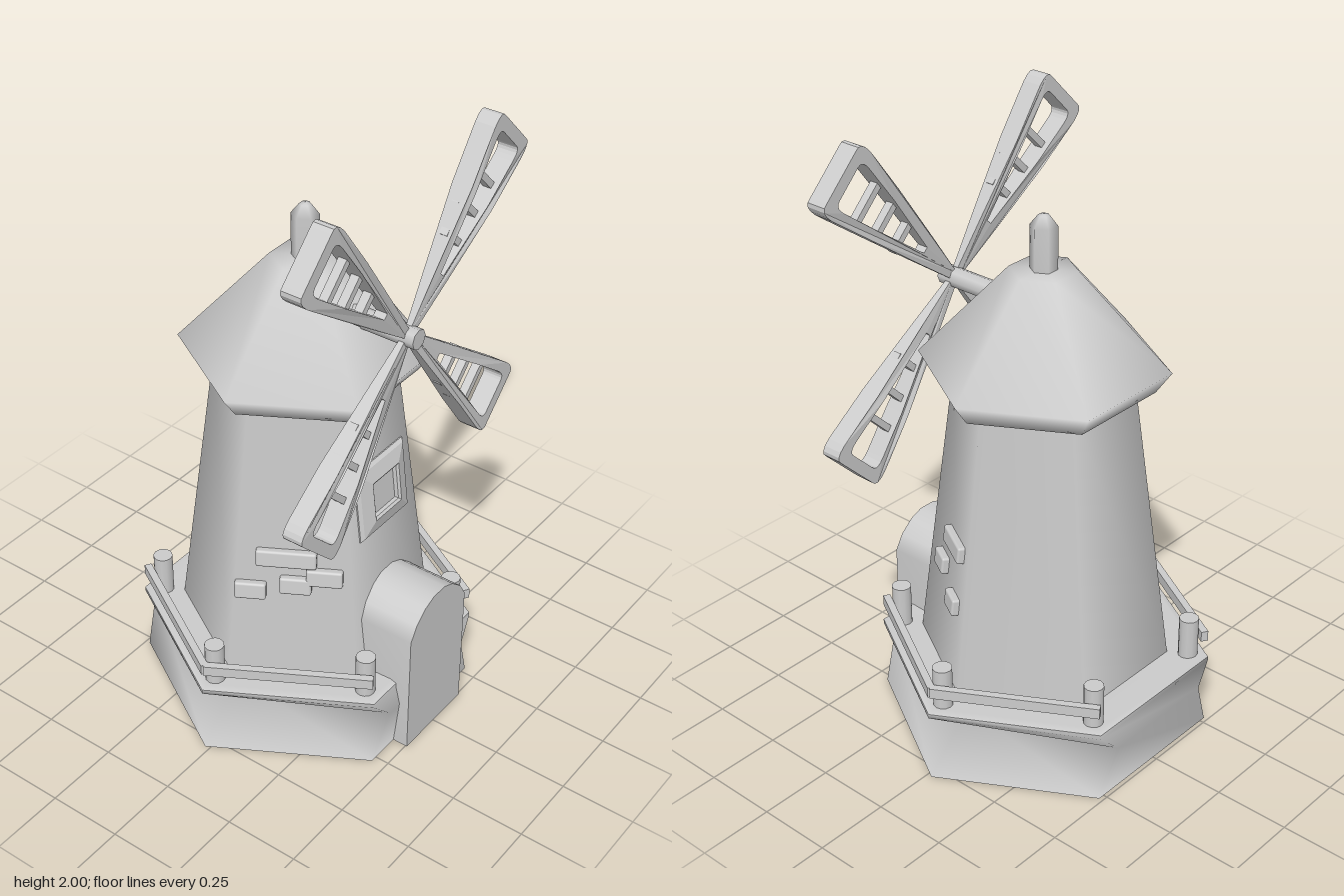
import * as THREE from 'three';
import { RoundedBoxGeometry } from 'three/addons/geometries/RoundedBoxGeometry.js';

const CZ = -0.017; // z of the tower axis
const COS30 = Math.cos(Math.PI / 6);
const SLOPE = Math.atan(0.109 / 0.95); // lean of the tower walls
const wall = (y) => 0.355 - (y - 0.25) * 0.1147; // distance from axis to a tower facet

const grey = new THREE.MeshStandardMaterial({ color: 0xcccccc });
const greyDouble = new THREE.MeshStandardMaterial({ color: 0xcccccc, side: THREE.DoubleSide });

function add(parent, name, geometry, material = grey) {
  const mesh = new THREE.Mesh(geometry, material);
  mesh.name = name;
  parent.add(mesh);
  return mesh;
}

// Six-sided turned shape with corners on the x axis
const hexLathe = (points) =>
  new THREE.LatheGeometry(points.map(([r, y]) => new THREE.Vector2(r, y)), 6, Math.PI / 6);

function baseSkirt() {
  const g = hexLathe([[0.542, 0], [0.5, 0.17], [0.545, 0.235], [0.545, 0.25]]);
  const p = g.attributes.position;
  // Pinch the side corners of the middle ring and bulge its front and back
  for (let i = 0; i < p.count; i++) {
    if (Math.abs(p.getY(i) - 0.17) > 0.001) continue;
    const x = p.getX(i), z = p.getZ(i);
    if (Math.abs(z) < 0.1) p.setX(i, Math.sign(x) * 0.37);
    else p.setXYZ(i, Math.sign(x) * 0.205, 0.17, Math.sign(z) * 0.488);
  }
  g.computeVertexNormals();
  return g;
}

// Door porch: arched front with an open-bottomed shell behind it
function porch() {
  const group = new THREE.Group();
  group.name = 'doorPorch';
  const half = [[0.152, 0], [0.152, 0.445], [0.122, 0.495], [0.075, 0.535], [0.03, 0.553]];
  const arch = [...half, ...half.map(([x, y]) => [-x, y]).reverse()];
  const front = new THREE.ShapeGeometry(new THREE.Shape(arch.map(([x, y]) => new THREE.Vector2(x, y))));
  front.translate(0, 0, 0.505);
  add(group, 'door', front, greyDouble);
  const pos = [], idx = [];
  arch.forEach(([x, y], i) => {
    pos.push(x, y, 0.505, x, y, 0.24);
    const a = 2 * i;
    if (i) idx.push(a - 2, a - 1, a, a, a - 1, a + 1);
  });
  const shell = new THREE.BufferGeometry();
  shell.setAttribute('position', new THREE.Float32BufferAttribute(pos, 3));
  shell.setIndex(idx);
  shell.computeVertexNormals();
  add(group, 'porchShell', shell, greyDouble);
  return group;
}

function windowFrame() {
  const square = (s, Kind) => {
    const k = new Kind();
    k.moveTo(-s, -s).lineTo(s, -s).lineTo(s, s).lineTo(-s, s).closePath();
    return k;
  };
  const group = new THREE.Group();
  group.name = 'window';
  const shape = square(0.085, THREE.Shape);
  shape.holes.push(square(0.08, THREE.Path));
  const frame = new THREE.ExtrudeGeometry(shape, {
    depth: 0.001, bevelEnabled: true, bevelThickness: 0.03, bevelSize: 0.0, bevelSegments: 1,
  });
  frame.dispose();
  // Picture-frame profile swept round a four-sided loop
  const ring = new THREE.LatheGeometry(
    [[0.125, -0.03], [0.125, 0.006], [0.115, 0.016], [0.068, 0.03], [0.06, 0.024], [0.058, 0.004]]
      .map(([r, y]) => new THREE.Vector2(r * Math.SQRT2, y)), 4, Math.PI / 4);
  ring.rotateX(Math.PI / 2);
  const flat = ring.toNonIndexed();
  flat.computeVertexNormals();
  add(group, 'windowFrame', flat);
  add(group, 'windowPane', new THREE.BoxGeometry(0.12, 0.12, 0.03)).position.z = -0.004;
  return group;
}

// One sail: tapering frame with an opening and three rungs, pointing up +y
function sail() {
  const group = new THREE.Group();
  group.name = 'sail';
  const shape = new THREE.Shape();
  shape.moveTo(-0.012, 0).lineTo(0.012, 0).lineTo(0.046, 0.2).lineTo(0.086, 0.45).lineTo(0.11, 0.6);
  shape.quadraticCurveTo(0.128, 0.69, 0.085, 0.682);
  shape.lineTo(-0.085, 0.682);
  shape.quadraticCurveTo(-0.128, 0.69, -0.11, 0.6);
  shape.lineTo(-0.086, 0.45).lineTo(-0.046, 0.2).closePath();
  const hole = new THREE.Path();
  hole.moveTo(0.01, 0.2).lineTo(0.052, 0.45).lineTo(0.074, 0.6);
  hole.quadraticCurveTo(0.08, 0.642, 0.055, 0.642);
  hole.lineTo(-0.055, 0.642);
  hole.quadraticCurveTo(-0.08, 0.642, -0.074, 0.6);
  hole.lineTo(-0.052, 0.45).lineTo(-0.01, 0.2).closePath();
  shape.holes.push(hole);
  const g = new THREE.ExtrudeGeometry(shape, { depth: 1, bevelEnabled: false, curveSegments: 5 });
  const p = g.attributes.position;
  // Thin towards the hub
  for (let i = 0; i < p.count; i++) {
    const t = Math.min(1, p.getY(i) / 0.45);
    p.setZ(i, (p.getZ(i) - 0.5) * 2 * (0.008 + 0.026 * t));
  }
  g.computeVertexNormals();
  add(group, 'sailFrame', g);
  for (const y of [0.31, 0.41, 0.51]) {
    add(group, 'sailRung', new THREE.BoxGeometry(0.05 + y * 0.26, 0.022, 0.028)).position.y = y;
  }
  return group;
}

export function createModel() {
  const model = new THREE.Group();
  model.name = 'windmill';
  const body = new THREE.Group();
  body.name = 'body';
  body.position.z = CZ;
  model.add(body);

  // Base, deck, tower, roof and chimney
  add(body, 'baseSkirt', baseSkirt(), greyDouble);
  add(body, 'deck', hexLathe([[0.545, 0.25], [0.52, 0.257], [0.36, 0.25]]), greyDouble);
  add(body, 'tower', hexLathe([[0.412, 0.24], [0.283, 1.23]]), greyDouble);
  add(body, 'roof', hexLathe([[0.27, 1.215], [0.345, 1.205], [0.394, 1.275], [0.107, 1.585], [0, 1.587]]), greyDouble);
  add(body, 'chimney', hexLathe([[0.043, 1.5], [0.043, 1.725], [0.018, 1.757], [0, 1.762]]));

  // Posts on the deck corners
  for (let i = 0; i < 6; i++) {
    const a = (i * Math.PI) / 3;
    add(body, 'railPost', new THREE.CylinderGeometry(0.032, 0.032, 0.17, 12))
      .position.set(0.478 * Math.cos(a), 0.31, 0.478 * Math.sin(a));
  }
  // Rails along the four slanted sides
  for (const deg of [30, 150, 210, 330]) {
    const a = THREE.MathUtils.degToRad(deg);
    const rail = add(body, 'rail', new THREE.BoxGeometry(0.024, 0.036, 0.535));
    rail.position.set(0.459 * Math.cos(a), 0.33, 0.459 * Math.sin(a));
    rail.rotation.y = -a;
  }

  // Loose bricks on the two slanted front walls: [side, along, height, width]
  const bricks = [
    [1, -0.057, 0.715, 0.155], [1, 0.043, 0.597, 0.085], [1, -0.09, 0.525, 0.085],
    [-1, -0.022, 0.683, 0.19], [-1, 0.098, 0.622, 0.115], [-1, 0.008, 0.588, 0.1], [-1, -0.134, 0.56, 0.1],
  ];
  for (const [side, u, y, w] of bricks) {
    const d = wall(y);
    const brick = add(body, 'brick', new RoundedBoxGeometry(w, 0.058, 0.05, 2, 0.008));
    brick.position.set(side * (d * COS30 - u * 0.5), y, d * 0.5 + u * COS30);
    brick.rotation.set(-SLOPE, (side * Math.PI) / 3, 0, 'YXZ');
  }

  // Window leaning with the front wall
  const win = windowFrame();
  win.position.set(0, 0.847, wall(0.847));
  win.rotation.x = -SLOPE;
  body.add(win);

  model.add(porch());

  // Axle and sails
  const axle = add(model, 'axle', new THREE.CylinderGeometry(0.033, 0.033, 0.33, 8).rotateX(Math.PI / 2));
  axle.position.set(0, 1.447, 0.228);
  const sails = new THREE.Group();
  sails.name = 'sails';
  sails.position.set(0, 1.447, 0.352);
  for (let i = 0; i < 4; i++) {
    const s = sail();
    s.rotation.z = Math.PI / 4 + (i * Math.PI) / 2;
    sails.add(s);
  }
  model.add(sails);
  return model;
}
